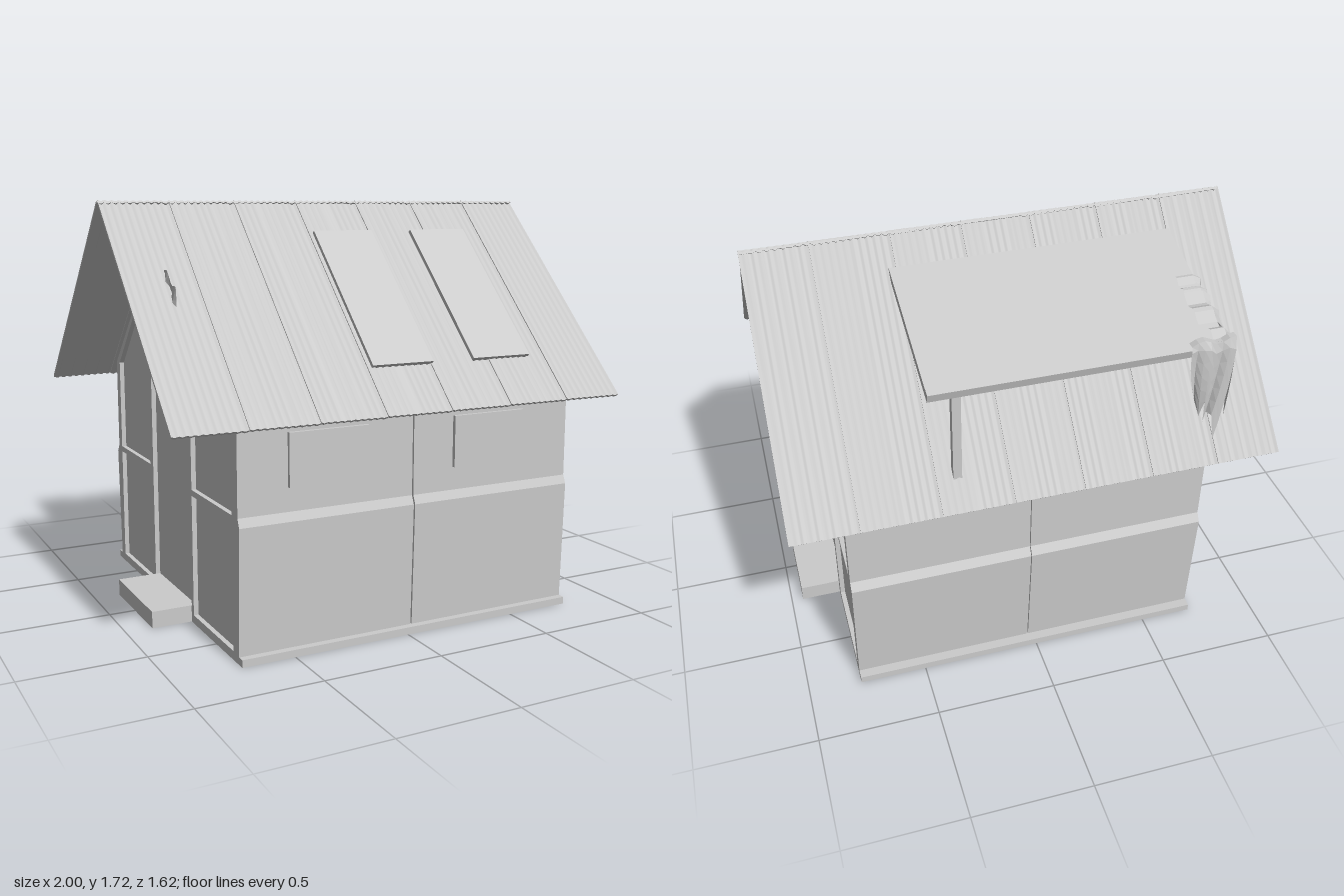
import * as THREE from 'three';
import { toCreasedNormals } from 'three/addons/utils/BufferGeometryUtils.js';

const grey = new THREE.MeshStandardMaterial({ color: 0xcccccc });
const clothGrey = new THREE.MeshStandardMaterial({ color: 0xcccccc, flatShading: true, side: THREE.DoubleSide });

const RIDGE = 1.715, PITCH = Math.atan2(0.805, 0.81), SLOPE = Math.hypot(0.805, 0.81);

function add(parent, name, geometry, material = grey) {
  const mesh = new THREE.Mesh(geometry, material);
  mesh.name = name;
  parent.add(mesh);
  return mesh;
}

// Box given by its limits on each axis
function box(parent, name, [x0, x1], [y0, y1], [z0, z1]) {
  const m = add(parent, name, new THREE.BoxGeometry(x1 - x0, y1 - y0, z1 - z0));
  m.position.set((x0 + x1) / 2, (y0 + y1) / 2, (z0 + z1) / 2);
  return m;
}

// Outline of [z, y] points extruded along x
const path = (C, pts) => new C(pts.map(([z, y]) => new THREE.Vector2(-z, y)));
function extrudeX(outline, holes, x0, x1) {
  const shape = path(THREE.Shape, outline);
  shape.holes = holes.map((h) => path(THREE.Path, h));
  const g = new THREE.ExtrudeGeometry(shape, { depth: x1 - x0, bevelEnabled: false });
  return g.rotateY(Math.PI / 2).translate(x0, 0, 0);
}

// Corrugated sheet: wavy cross-section run down the slope
function roofSheet(x0, x1) {
  const waves = Math.round((x1 - x0) / 0.029), n = waves * 6, top = [], bottom = [];
  for (let i = 0; i <= n; i++) {
    const t = i / n, x = x0 + (x1 - x0) * t;
    const h = 0.003 * Math.cos(t * waves * Math.PI * 2) - 0.003 - 0.004 * t;
    top.push(new THREE.Vector2(x, h));
    bottom.unshift(new THREE.Vector2(x, h - 0.01));
  }
  const g = new THREE.ExtrudeGeometry(new THREE.Shape([...top, ...bottom]), { depth: SLOPE, bevelEnabled: false });
  return toCreasedNormals(g, 0.9);
}

function roofSide(parent, name, seams) {
  const side = new THREE.Group();
  side.name = name;
  seams.slice(1).forEach((x, i) => add(side, 'roofSheet', roofSheet(seams[i], x)));
  side.position.y = RIDGE;
  side.rotation.order = 'YXZ';
  side.rotation.x = PITCH;
  parent.add(side);
  return side;
}

// Ragged cloth laid over the edge from a to b, falling on the outward side
function drape(parent, name, a, b, outward, lap, lengths, phase) {
  const nu = 7, nv = 7, g = new THREE.PlaneGeometry(1, 1, nu, nv), p = g.attributes.position;
  const A = new THREE.Vector3(...a), B = new THREE.Vector3(...b), O = new THREE.Vector3(...outward);
  const v = new THREE.Vector3();
  for (let i = 0; i < p.count; i++) {
    const u = p.getX(i) + 0.5, t = 0.5 - p.getY(i);
    const fall = Math.max(0, (t - 0.2) / 0.8), inside = Math.max(0, (0.2 - t) / 0.2);
    const ragged = 0.85 + 0.15 * Math.sin(u * 17 + phase);
    const length = THREE.MathUtils.lerp(lengths[0], lengths[1], u) * ragged;
    const narrow = 1 - 0.45 * fall * fall;
    v.lerpVectors(A, B, 0.5 + (u - 0.5) * narrow + 0.08 * fall * Math.sin(phase));
    v.addScaledVector(O, -lap * inside + 0.018 * Math.sin(u * 11 + phase) * Math.sqrt(fall));
    v.y += 0.012 * Math.sin(u * 9 + phase) * (1 - fall) - length * fall;
    p.setXYZ(i, v.x, v.y, v.z);
  }
  g.computeVertexNormals();
  return add(parent, name, g, clothGrey);
}

export function createModel() {
  const model = new THREE.Group();
  model.name = 'hut';

  // Floor and door steps
  box(model, 'floor', [-0.72, 0.78], [0, 0.03], [-0.76, 0.76]);
  box(model, 'leftStep', [0.77, 0.95], [0, 0.07], [-0.22, 0.23]);
  box(model, 'rightStep', [-0.89, -0.71], [0, 0.07], [-0.22, 0.23]);

  // Body in two halves with a narrow joint
  const outline = [
    [-0.72, 0.02], [-0.743, 0.53], [-0.72, 0.565], [-0.72, 0.965], [0, 1.67],
    [0.73, 0.965], [0.73, 0.565], [0.745, 0.53], [0.73, 0.02],
  ];
  add(model, 'bodyRight', extrudeX(outline, [], -0.70, 0.027));
  add(model, 'bodyLeft', extrudeX(outline, [], 0.033, 0.76));
  add(model, 'bodyJoint', extrudeX(outline.map(([z, y]) => [z * 0.985, 0.02 + (y - 0.02) * 0.985]), [], 0.02, 0.04));

  // Raised timber frames on both gable ends
  const frameHoles = [
    [[-0.22, 0.07], [0.232, 0.07], [0.232, 1.24], [-0.22, 1.24]],
    [[-0.36, 1.29], [0.36, 1.29], [0.315, 1.335], [-0.315, 1.335]],
    [[-0.275, 1.345], [0.275, 1.345], [0, 1.615]],
  ];
  for (const s of [1, -1]) {
    const inner = s > 0 ? 0.255 : 0.26;
    frameHoles.push([[s * inner, 0.035], [s * 0.675, 0.035], [s * 0.675, 0.54], [s * inner, 0.54]]);
    frameHoles.push([[s * inner, 0.565], [s * 0.675, 0.565], [s * 0.675, 0.965], [s * 0.41, 1.24], [s * inner, 1.24]]);
  }
  add(model, 'leftGableFrame', extrudeX(outline, frameHoles, 0.755, 0.78));
  add(model, 'rightGableFrame', extrudeX(outline, frameHoles, -0.72, -0.695));

  // Front window shutters
  for (const x of [[-0.515, -0.175], [0.215, 0.55]]) box(model, 'windowShutter', x, [0.66, 0.87], [0.72, 0.746]);

  // Corrugated roof
  const front = roofSide(model, 'frontRoof', [-0.995, -0.7, -0.415, -0.13, 0.16, 0.44, 0.72, 0.995]);
  const back = roofSide(model, 'backRoof', [-1, -0.73, -0.41, -0.12, 0.165, 0.45, 0.73, 1]);
  back.rotation.y = Math.PI;

  // Skylights lying on the front slope
  for (const x of [[-0.11, 0.168], [0.362, 0.64]]) box(front, 'skylight', x, [-0.008, 0.011], [0.19, 0.91]);

  // Raised flap on the back slope: panel, rails, edge beam and prop
  const flap = new THREE.Group();
  flap.name = 'roofFlap';
  flap.position.set(0, 1.61, -0.11);
  flap.rotation.x = -Math.atan2(0.172, 0.62);
  box(flap, 'flapPanel', [-0.74, 0.44], [-0.014, 0], [-0.645, 0]);
  for (const x of [[-0.74, -0.71], [0.41, 0.44]]) box(flap, 'flapRail', x, [-0.035, -0.002], [-0.64, -0.02]);
  box(flap, 'flapBeam', [-0.74, 0.44], [-0.035, 0.003], [-0.65, -0.62]);
  model.add(flap);
  box(model, 'flapProp', [0.31, 0.345], [1.0, 1.43], [-0.712, -0.68]);

  // Cloths hung over the flap edges
  drape(model, 'cloth', [-0.76, 1.54, -0.38], [-0.76, 1.52, -0.48], [-1, 0, 0], 0.1, [0.17, 0.24], 0.6);
  drape(model, 'cloth', [-0.765, 1.52, -0.48], [-0.765, 1.49, -0.63], [-1, 0, 0], 0.11, [0.25, 0.4], 2.1);
  drape(model, 'cloth', [-0.765, 1.47, -0.62], [-0.765, 1.46, -0.74], [-1, 0, 0], 0.08, [0.38, 0.4], 4.0);
  drape(model, 'cloth', [-0.76, 1.47, -0.755], [-0.58, 1.47, -0.755], [0, 0, -1], 0.04, [0.46, 0.3], 1.2);

  // Cloth hung beneath the gable overhang
  drape(model, 'gableCloth', [-0.82, 1.46, 0.27], [-0.82, 1.38, 0.4], [-1, 0, 0], 0, [0.4, 0.56], 5.2);

  return model;
}
